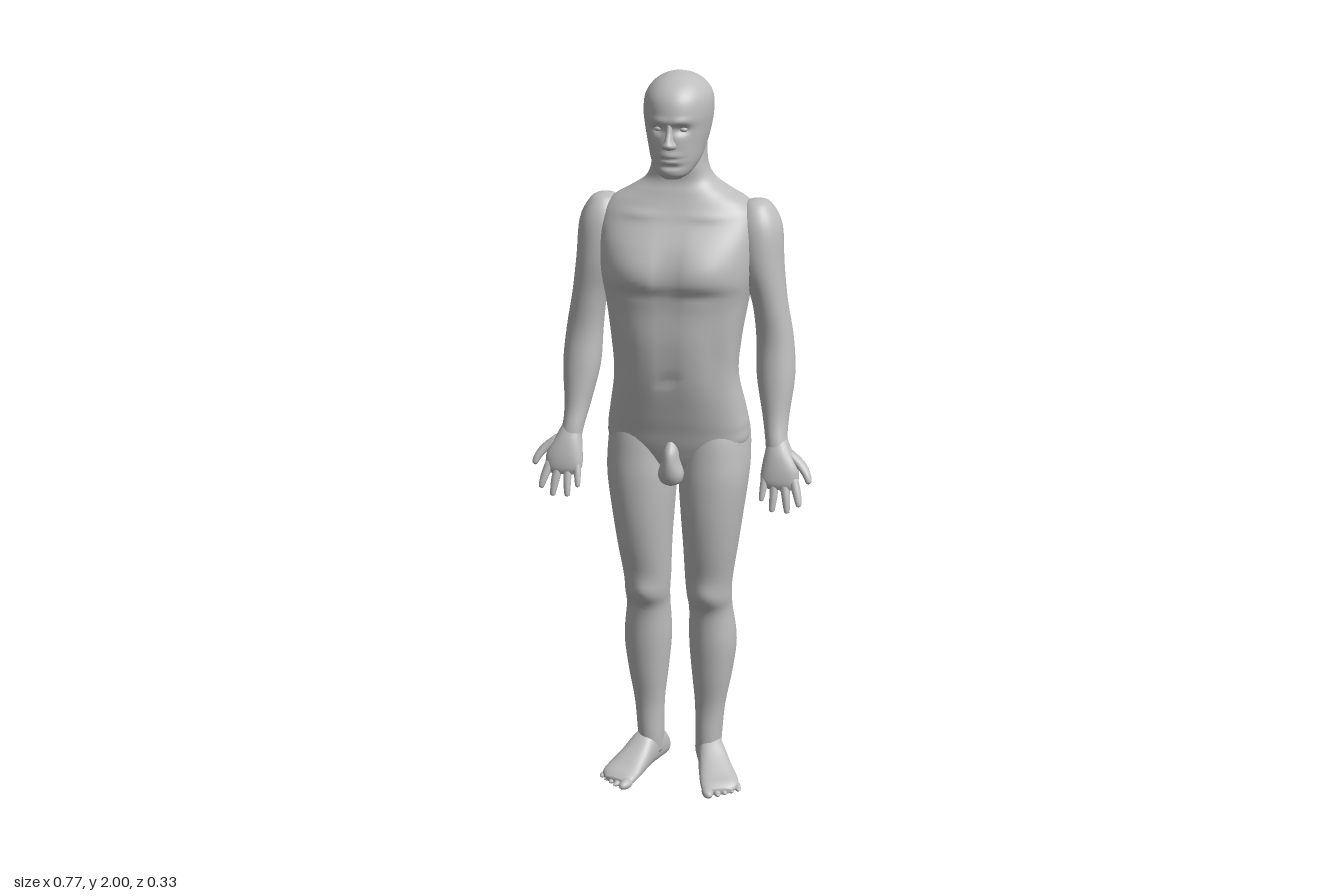
import * as THREE from 'three';

const skin = new THREE.MeshStandardMaterial({ color: 0xbdbdbd });
skin.name = 'plain grey';

const bump = (d, r) => Math.exp(-(d * d) / (r * r));
const spline = (a, b, c, d, t) =>
  b + 0.5 * t * (c - a + t * (2 * a - 5 * b + 4 * c - d + t * (3 * (b - c) + d - a)));

// Skin over horizontal cross-sections; each row is [y, xMin, xMax, zBack, zFront].
function loft(rows, { n = 28, steps = 5, power = 2, deform } = {}) {
  rows = [...rows].sort((p, q) => p[0] - q[0]);
  const last = rows.length - 1, rings = [], pos = [], idx = [];
  for (let k = 0; k <= last * steps; k++) {
    const i = Math.min(Math.floor(k / steps), last - 1), t = k / steps - i;
    const at = (m) => rows[Math.max(0, Math.min(last, m))];
    rings.push(rows[0].map((_, c) => spline(at(i - 1)[c], at(i)[c], at(i + 1)[c], at(i + 2)[c], t)));
  }
  const round = (v) => Math.sign(v) * Math.pow(Math.abs(v), 2 / power);
  for (const [y, x0, x1, z0, z1] of rings) {
    for (let j = 0; j < n; j++) {
      const a = (j / n) * Math.PI * 2;
      const p = new THREE.Vector3(
        (x0 + x1) / 2 + (x1 - x0) / 2 * round(Math.cos(a)), y,
        (z0 + z1) / 2 + (z1 - z0) / 2 * round(Math.sin(a)));
      if (deform) deform(p, Math.sin(a));
      pos.push(p.x, p.y, p.z);
    }
  }
  const top = (rings.length - 1) * n, c0 = pos.length / 3;
  for (const [y, x0, x1, z0, z1] of [rings[0], rings[rings.length - 1]]) {
    pos.push((x0 + x1) / 2, y, (z0 + z1) / 2);
  }
  for (let j = 0; j < n; j++) {
    const k = (j + 1) % n;
    for (let r = 0; r < top; r += n) idx.push(r + j, r + n + j, r + k, r + k, r + n + j, r + n + k);
    idx.push(c0, j, k, c0 + 1, top + k, top + j);
  }
  const g = new THREE.BufferGeometry();
  g.setAttribute('position', new THREE.Float32BufferAttribute(pos, 3));
  g.setIndex(idx);
  g.computeVertexNormals();
  return g;
}

// Mirror a geometry across x = 0 and restore its winding.
function mirrored(geo) {
  const g = geo.clone(), p = g.attributes.position;
  for (let i = 0; i < p.count; i++) p.setX(i, -p.getX(i));
  g.setIndex(Array.from(g.index.array).reverse());
  g.computeVertexNormals();
  return g;
}

// Tapered digit through [x, y, z, radius] points that run mostly downwards.
function digit(points) {
  const rows = points.map(([x, y, z, r]) => [y, x - r, x + r, z - r, z + r]);
  const [x, y, z, r] = points[points.length - 1];
  rows.push([y - r * 0.7, x - r * 0.6, x + r * 0.6, z - r * 0.6, z + r * 0.6]);
  rows.push([y - r, x - 0.001, x + 0.001, z - 0.001, z + 0.001]);
  return loft(rows, { n: 12, steps: 3 });
}

export function createModel() {
  const model = new THREE.Group();
  model.name = 'standing figure';
  const add = (name, geo) => {
    const mesh = new THREE.Mesh(geo, skin);
    mesh.name = name;
    model.add(mesh);
  };
  const pair = (name, geo) => {
    add('left ' + name, geo);
    add('right ' + name, mirrored(geo));
  };
  const even = (rows) => rows.map(([y, w, b, f]) => [y, -w, w, b, f]);

  // Trunk and neck, with chest muscles, navel line and spine furrow
  add('trunk', loft(even([
    [0.915, 0.03, -0.06, 0.03], [0.94, 0.1, -0.1, 0.055], [1.0, 0.185, -0.13, 0.075],
    [1.05, 0.192, -0.14, 0.086], [1.1, 0.184, -0.138, 0.098], [1.2, 0.167, -0.112, 0.118],
    [1.3, 0.174, -0.125, 0.126], [1.4, 0.19, -0.145, 0.122], [1.47, 0.202, -0.158, 0.13],
    [1.55, 0.21, -0.167, 0.108], [1.62, 0.212, -0.16, 0.064], [1.66, 0.185, -0.147, 0.043],
    [1.69, 0.135, -0.133, 0.03], [1.72, 0.092, -0.12, 0.02], [1.76, 0.074, -0.106, 0.022],
    [1.82, 0.07, -0.1, 0.02],
  ]), {
    n: 56, steps: 7, power: 2.5,
    deform(p, s) {
      const x = Math.abs(p.x), y = p.y;
      if (s > 0) {
        p.z += s * 0.014 * bump(x - 0.09, 0.075) * bump(y - 1.5, 0.055);
        p.z -= s * 0.007 * bump(x - 0.09, 0.09) * bump(y - 1.438, 0.018);
        p.z -= s * 0.008 * bump(x, 0.016) * bump(y - 1.5, 0.1);
        p.z -= s * 0.005 * bump(x, 0.012) * bump(y - 1.27, 0.12);
        p.z -= s * 0.008 * bump(x, 0.009) * bump(y - 1.205, 0.012);
        p.z -= s * 0.01 * bump(x - 0.125, 0.03) * bump(y - 1.27, 0.1);
        p.z += s * 0.006 * bump(x - 0.09, 0.05) * bump(y - 1.635, 0.012);
      } else {
        p.z -= s * 0.02 * bump(x, 0.028) * bump(y - 1.43, 0.2);
        p.z += s * 0.008 * bump(x - 0.1, 0.05) * bump(y - 1.54, 0.08);
      }
    },
  }));

  // Head, with eye sockets, brow, lips and chin shaped into the front
  add('head', loft(even([
    [1.736, 0.022, 0.035, 0.076], [1.75, 0.044, -0.01, 0.089], [1.78, 0.064, -0.075, 0.092],
    [1.82, 0.076, -0.118, 0.094], [1.86, 0.085, -0.137, 0.093], [1.9, 0.09, -0.147, 0.096],
    [1.94, 0.087, -0.143, 0.085], [1.97, 0.069, -0.12, 0.058], [1.99, 0.042, -0.082, 0.018],
    [2.0, 0.008, -0.04, -0.025],
  ]), {
    n: 64, steps: 10, power: 2.15,
    deform(p, s) {
      if (s < 0) return;
      const x = Math.abs(p.x), y = p.y;
      p.x *= 1 - 0.07 * s;
      p.z -= 0.013 * bump(x - 0.033, 0.017) * bump(y - 1.866, 0.012);
      p.z += 0.005 * bump(x - 0.03, 0.03) * bump(y - 1.887, 0.01);
      p.z += 0.005 * bump(x, 0.026) * bump(y - 1.8, 0.009);
      p.z += 0.004 * bump(x, 0.024) * bump(y - 1.783, 0.007);
      p.z -= 0.004 * bump(x, 0.026) * bump(y - 1.791, 0.003);
      p.z -= 0.006 * bump(x, 0.03) * bump(y - 1.771, 0.007);
    },
  }));
  add('nose', loft(even([
    [1.815, 0.008, 0.07, 0.098], [1.819, 0.017, 0.07, 0.112], [1.828, 0.019, 0.07, 0.121],
    [1.84, 0.012, 0.07, 0.116], [1.86, 0.009, 0.07, 0.104], [1.885, 0.009, 0.07, 0.095],
  ]), { n: 20 }));
  const eye = new THREE.SphereGeometry(0.012, 16, 10);
  eye.scale(1, 0.6, 0.8).translate(0.032, 1.866, 0.07);
  pair('eye', eye);

  // Arms
  pair('arm', loft([
    [1.668, 0.197, 0.215, -0.065, -0.04], [1.655, 0.17, 0.243, -0.1, -0.005],
    [1.6, 0.15, 0.272, -0.122, 0.025], [1.5, 0.165, 0.28, -0.115, 0.036],
    [1.4, 0.198, 0.292, -0.096, 0.028], [1.3, 0.211, 0.31, -0.09, 0.022],
    [1.2, 0.216, 0.318, -0.073, 0.036], [1.1, 0.237, 0.309, -0.036, 0.052],
    [1.04, 0.25, 0.309, 0.002, 0.07], [1.0, 0.256, 0.32, 0.03, 0.078],
  ], { n: 32, power: 2.1 }));

  // Hands
  pair('palm', loft([
    [1.05, 0.258, 0.304, 0.005, 0.06], [1.01, 0.253, 0.325, 0.022, 0.082],
    [0.97, 0.247, 0.346, 0.042, 0.095], [0.935, 0.246, 0.347, 0.058, 0.1],
    [0.915, 0.262, 0.335, 0.07, 0.096],
  ], { n: 24, power: 2.3 }));
  const digits = {
    thumb: [[0.315, 1.01, 0.05, 0.016], [0.345, 0.985, 0.06, 0.017], [0.366, 0.962, 0.075, 0.013], [0.375, 0.943, 0.085, 0.009]],
    'index finger': [[0.333, 0.95, 0.078, 0.013], [0.346, 0.91, 0.095, 0.012], [0.353, 0.883, 0.107, 0.008]],
    'middle finger': [[0.308, 0.945, 0.08, 0.013], [0.317, 0.9, 0.095, 0.012], [0.322, 0.862, 0.106, 0.008]],
    'ring finger': [[0.284, 0.945, 0.08, 0.012], [0.284, 0.9, 0.095, 0.011], [0.282, 0.863, 0.106, 0.008]],
    'little finger': [[0.26, 0.95, 0.078, 0.012], [0.256, 0.92, 0.092, 0.01], [0.253, 0.89, 0.103, 0.007]],
  };
  for (const [name, points] of Object.entries(digits)) pair(name, digit(points));

  // Legs, from buttock and thigh to ankle
  pair('leg', loft([
    [1.13, 0.07, 0.12, -0.12, 0.0], [1.09, 0.025, 0.165, -0.151, 0.05],
    [1.04, 0.006, 0.19, -0.166, 0.07], [0.97, 0.003, 0.197, -0.15, 0.082],
    [0.9, 0.004, 0.195, -0.126, 0.09], [0.8, 0.011, 0.182, -0.118, 0.09],
    [0.7, 0.018, 0.168, -0.107, 0.078], [0.6, 0.022, 0.153, -0.096, 0.057],
    [0.55, 0.026, 0.15, -0.1, 0.052], [0.5, 0.029, 0.15, -0.112, 0.031],
    [0.4, 0.027, 0.16, -0.13, 0.025], [0.3, 0.035, 0.149, -0.116, 0.015],
    [0.2, 0.045, 0.131, -0.09, 0.002], [0.1, 0.047, 0.122, -0.092, 0.005],
    [0.04, 0.05, 0.118, -0.09, 0.0],
  ], {
    n: 36, power: 2.1,
    deform(p, s) { // kneecap
      if (s > 0) p.z += s * 0.009 * bump(p.x - 0.088, 0.035) * bump(p.y - 0.575, 0.03);
    },
  }));

  // Groin
  add('groin', loft(even([
    [0.9, 0.008, 0.065, 0.085], [0.91, 0.028, 0.05, 0.1], [0.935, 0.035, 0.04, 0.11],
    [0.97, 0.024, 0.04, 0.112], [1.0, 0.02, 0.04, 0.104], [1.025, 0.012, 0.04, 0.08],
  ]), { n: 20 }));

  // Feet: sections run from heel to toe, then the foot is turned outwards
  const place = (g) => g.rotateY(0.35).translate(0.1, 0, -0.003);
  pair('foot', place(loft([
    [-0.112, -0.014, 0.014, -0.045, -0.015], [-0.1, -0.03, 0.03, -0.068, -0.002],
    [-0.06, -0.036, 0.036, -0.11, 0], [-0.01, -0.037, 0.041, -0.105, 0],
    [0.04, -0.042, 0.052, -0.072, 0], [0.09, -0.046, 0.062, -0.045, 0],
    [0.12, -0.046, 0.058, -0.034, 0], [0.14, -0.04, 0.035, -0.022, -0.004],
  ], { n: 28, power: 2.4 }).rotateX(Math.PI / 2)));
  for (let i = 0; i < 5; i++) {
    const r = i ? 0.0105 : 0.016;
    const toe = new THREE.SphereGeometry(1, 14, 10).scale(r, r * 0.85, 0.028)
      .translate(i ? -0.025 + i * 0.0205 : -0.032, r * 0.85, 0.138 - i * 0.008);
    pair('toe ' + (i + 1), place(toe));
  }
  return model;
}
